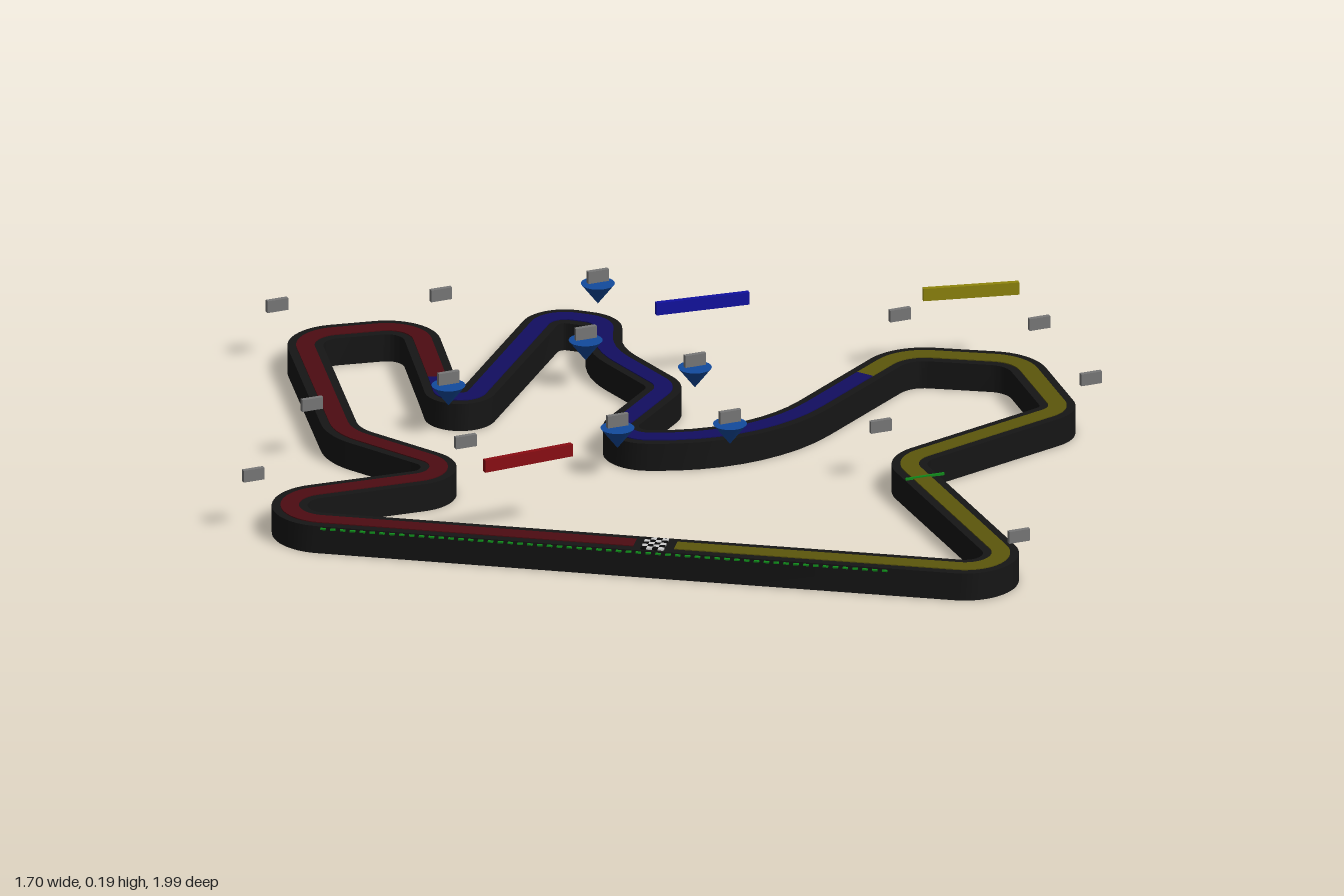
import * as THREE from 'three';
import { toCreasedNormals } from 'three/addons/utils/BufferGeometryUtils.js';

const mat = (color) => new THREE.MeshStandardMaterial({ color });
const WALL_TOP = 0.06;

// Corners of the circuit's centre line: x, z, bend radius (0 marks where a sector starts or ends)
const corners = [
  [-0.487, 0.288, 0], [-0.941, -0.542, 0.077], [-0.41, -0.22, 0.06], [-0.415, -0.553, 0.13],
  [-0.071, -0.952, 0.075], [0.123, -0.802, 0.074],
  [-0.066, -0.59, 0], [-0.22, -0.421, 0.037], [0.341, -0.63, 0.053], [0.384, -0.516, 0.053],
  [0.267, -0.426, 0.21], [0.198, -0.193, 0.063], [-0.09, -0.124, 0.058], [0.103, 0.124, 0.38],
  [0.505, 0.077, 0], [0.643, 0.061, 0.095], [0.77, 0.272, 0.09], [0.622, 0.505, 0.053],
  [0.204, 0.426, 0.074], [-0.093, 0.999, 0.074], [-0.446, 0.362, 0],
];

// Round every corner with an arc; each sample is a position and a heading
function traceCircuit() {
  const samples = [], splits = [], n = corners.length;
  corners.forEach(([x, z, r], i) => {
    const a = corners[(i + n - 1) % n], b = corners[(i + 1) % n];
    const inDir = Math.atan2(z - a[1], x - a[0]), outDir = Math.atan2(b[1] - z, b[0] - x);
    const turn = Math.atan2(Math.sin(outDir - inDir), Math.cos(outDir - inDir));
    if (r === 0) {
      splits.push(samples.length);
      samples.push({ x, z, dir: inDir + turn / 2 });
      return;
    }
    const d = r * Math.tan(Math.abs(turn) / 2), s = Math.sign(turn) * r;
    const cx = x - Math.cos(inDir) * d - Math.sin(inDir) * s;
    const cz = z - Math.sin(inDir) * d + Math.cos(inDir) * s;
    const steps = Math.max(6, Math.ceil(Math.abs(turn) / 0.12));
    for (let k = 0; k <= steps; k++) {
      const dir = inDir + (turn * k) / steps;
      samples.push({ x: cx + Math.sin(dir) * s, z: cz - Math.cos(dir) * s, dir });
    }
  });
  return { samples, splits };
}

// Sweep a rectangular section along the samples
function sweep(samples, halfWidth, y0, y1, closed) {
  const section = [[-halfWidth, y0], [halfWidth, y0], [halfWidth, y1], [-halfWidth, y1]];
  const pos = [], index = [], n = samples.length;
  for (const { x, z, dir } of samples)
    for (const [o, y] of section) pos.push(x - Math.sin(dir) * o, y, z + Math.cos(dir) * o);
  for (let k = 0; k < (closed ? n : n - 1); k++) {
    const p = k * 4, q = ((k + 1) % n) * 4;
    for (let i = 0; i < 4; i++) {
      const j = (i + 1) % 4;
      index.push(p + i, q + i, q + j, p + i, q + j, p + j);
    }
  }
  const geo = new THREE.BufferGeometry();
  geo.setAttribute('position', new THREE.Float32BufferAttribute(pos, 3));
  geo.setIndex(index);
  return toCreasedNormals(geo, 0.6);
}

export function createModel() {
  const model = new THREE.Group();
  const add = (name, geo, material, x = 0, y = 0, z = 0, ry = 0, parent = model) => {
    const mesh = new THREE.Mesh(geo, material);
    mesh.name = name;
    mesh.position.set(x, y, z);
    mesh.rotation.y = ry;
    parent.add(mesh);
    return mesh;
  };
  const group = (name) => {
    const g = new THREE.Group();
    g.name = name;
    model.add(g);
    return g;
  };

  // Raised track bed and the coloured racing line of each sector
  const { samples, splits } = traceCircuit();
  add('trackBed', sweep(samples, 0.037, 0, WALL_TOP, true), mat(0x151515));
  const sectors = [['redSector', 0x4d0c12], ['blueSector', 0x120e60], ['yellowSector', 0x5c560c]];
  sectors.forEach(([name, color], i) => add(name,
    sweep(samples.slice(splits[i], splits[i + 1] + 1), 0.019, WALL_TOP - 0.003, WALL_TOP + 0.002, false), mat(color)));

  // Chequered finish line across the long straight
  const finish = group('finishLine');
  const heading = Math.atan2(-0.83, -0.454);
  finish.position.set(-0.468, WALL_TOP + 0.001, 0.324);
  finish.rotation.y = -heading;
  const tile = new THREE.BoxGeometry(0.012, 0.004, 0.012);
  const white = mat(0xcccccc), black = mat(0x0a0a0a);
  for (let i = 0; i < 4; i++)
    for (let j = 0; j < 5; j++)
      add('finishTile', tile, (i + j) % 2 ? black : white, (i - 1.5) * 0.012, 0, (j - 2) * 0.012, 0, finish);

  // Dotted green zone beside the straight and the green line where it is triggered
  const green = mat(0x0f8a1a), dots = group('greenZone');
  const dot = new THREE.BoxGeometry(0.011, 0.003, 0.006);
  for (let i = 0; i < 58; i++) {
    const t = i / 57;
    add('greenDash', dot, green, -0.843 + 0.565 * t, WALL_TOP + 0.002, -0.25 + 1.03 * t, -heading, dots);
  }
  add('greenTriggerLine', new THREE.BoxGeometry(0.085, 0.005, 0.005), green, 0.162, WALL_TOP + 0.002, 0.522, -0.5);

  // Blank number boards floating over the corners
  const board = new THREE.BoxGeometry(0.046, 0.026, 0.01), boardMat = mat(0x777777);
  const addBoard = (x, z) => add('cornerBoard', board, boardMat, x, 0.127, z, -0.48);
  [[-0.83, -0.447], [-0.415, -0.225], [-0.463, -0.595], [-0.103, -0.987], [0.156, -0.765],
    [0.675, 0.029], [0.823, 0.278], [0.664, 0.548], [0.193, 0.378], [-0.077, 0.971]]
    .forEach(([x, z]) => addBoard(x, z));

  // Blue markers pointing down, each with a board on top
  const cone = new THREE.ConeGeometry(0.035, 0.045, 24).rotateX(Math.PI), blue = mat(0x124a9c);
  [[0.437, -0.579], [-0.177, -0.468], [0.188, -0.405], [0.22, -0.14], [-0.13, -0.056], [0.034, 0.108]]
    .forEach(([x, z]) => {
      add('cornerMarker', cone, blue, x, 0.088, z);
      addBoard(x, z);
    });

  // Blank sector boards
  const plate = new THREE.BoxGeometry(0.2, 0.027, 0.011);
  [['redSectorBoard', 0x8a0c12, -0.495, 0.008, 0.42], ['blueSectorBoard', 0x1010a0, 0.368, -0.243, 0.58],
    ['yellowSectorBoard', 0x8f850c, 0.77, 0.14, 0.7]]
    .forEach(([name, color, x, z, angle]) => add(name, plate, mat(color), x, 0.178, z, -angle));

  return model;
}
